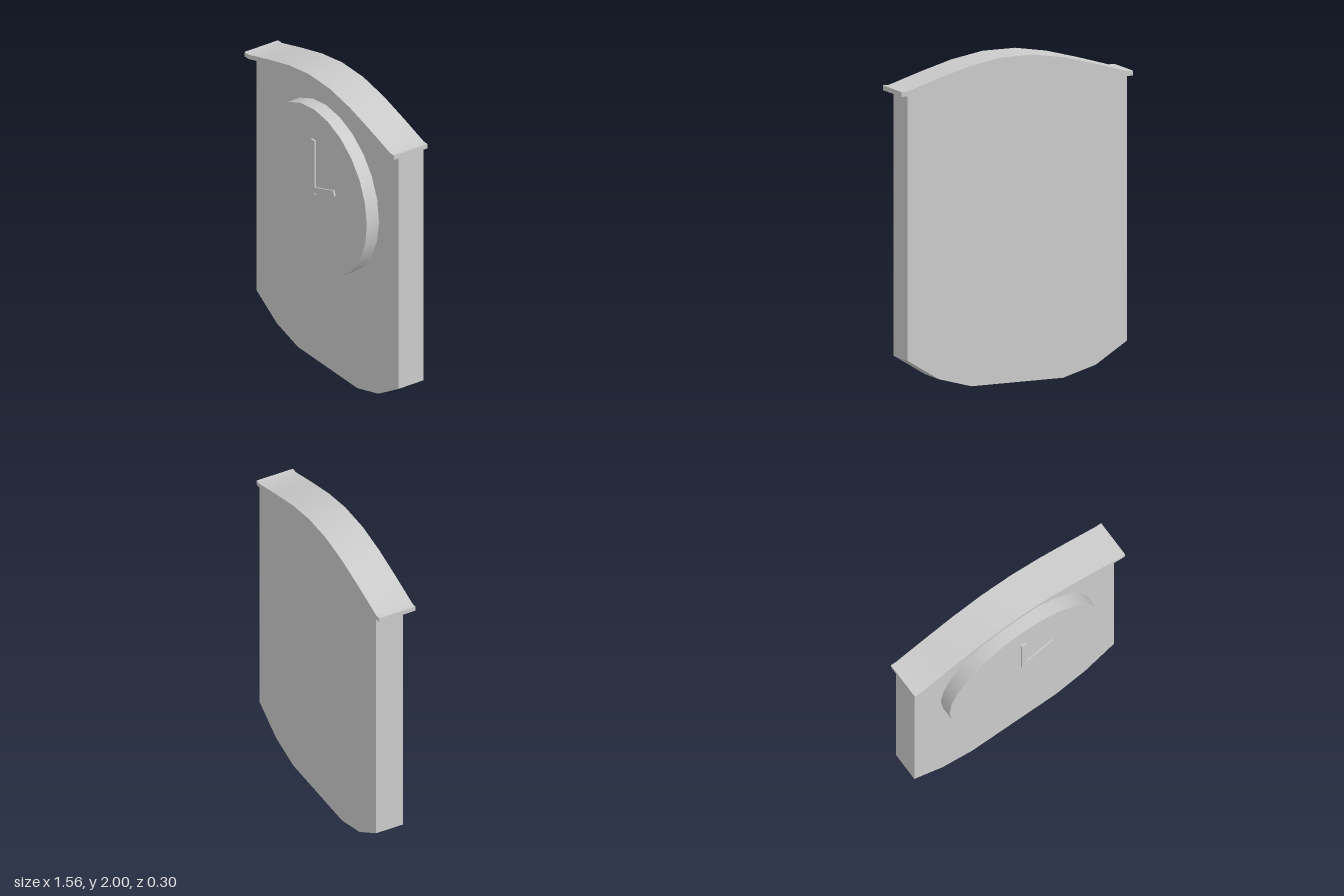
import * as THREE from 'three';
import { toCreasedNormals } from 'three/addons/utils/BufferGeometryUtils.js';

const material = new THREE.MeshStandardMaterial({ color: 0xcccccc });

// Extrudes an outline in the xy plane between two depths
function slab(name, points, zBack, zFront) {
  const shape = new THREE.Shape(points.map(([x, y]) => new THREE.Vector2(x, y)));
  const geometry = new THREE.ExtrudeGeometry(shape, { depth: zFront - zBack, bevelEnabled: false });
  geometry.translate(0, 0, zBack);
  const mesh = new THREE.Mesh(toCreasedNormals(geometry, 0.5), material);
  mesh.name = name;
  return mesh;
}

// Adds the mirrored left-to-right counterpart of a half line
const mirror = (half) => [...half, ...half.map(([x, y]) => [-x, y]).reverse()];

export function createModel() {
  const clock = new THREE.Group();
  clock.name = 'wallClock';
  const back = -0.148;

  // Half lines, running from the right edge to the middle
  const arch = [[0.74, 1.815], [0.53, 1.876], [0.32, 1.935], [0.11, 1.97]];
  const roofTop = [[0.78, 1.845], [0.74, 1.845], [0.53, 1.908], [0.32, 1.965], [0.11, 2]];
  const base = [[-0.31, 0.003], [-0.53, 0.065], [-0.74, 0.195]];

  // Case with arched top and tapered bottom
  const bottom = [...base].reverse().concat(base.map(([x, y]) => [-x, y]));
  clock.add(slab('case', [...mirror(arch), ...bottom], back, 0.038));

  // Thin roof strip that follows the arch and overhangs the front
  const underside = mirror([[0.78, 1.815], ...arch]).reverse();
  clock.add(slab('roof', [...mirror(roofTop), ...underside], back, 0.1));

  // Round dial
  const dialGeometry = new THREE.CylinderGeometry(0.55, 0.55, 0.09, 24);
  dialGeometry.rotateX(Math.PI / 2);
  const dial = new THREE.Mesh(dialGeometry, material);
  dial.name = 'dial';
  dial.position.set(0, 1.268, 0.0925);
  clock.add(dial);

  // Minute and hour hands in one outline
  clock.add(slab('hands', [
    [-0.02, 1.24], [0.018, 1.24], [0.018, 1.254], [0.225, 1.324],
    [0.214, 1.358], [0.018, 1.29], [0.018, 1.61], [-0.02, 1.61],
  ], 0.137, 0.148));

  return clock;
}
